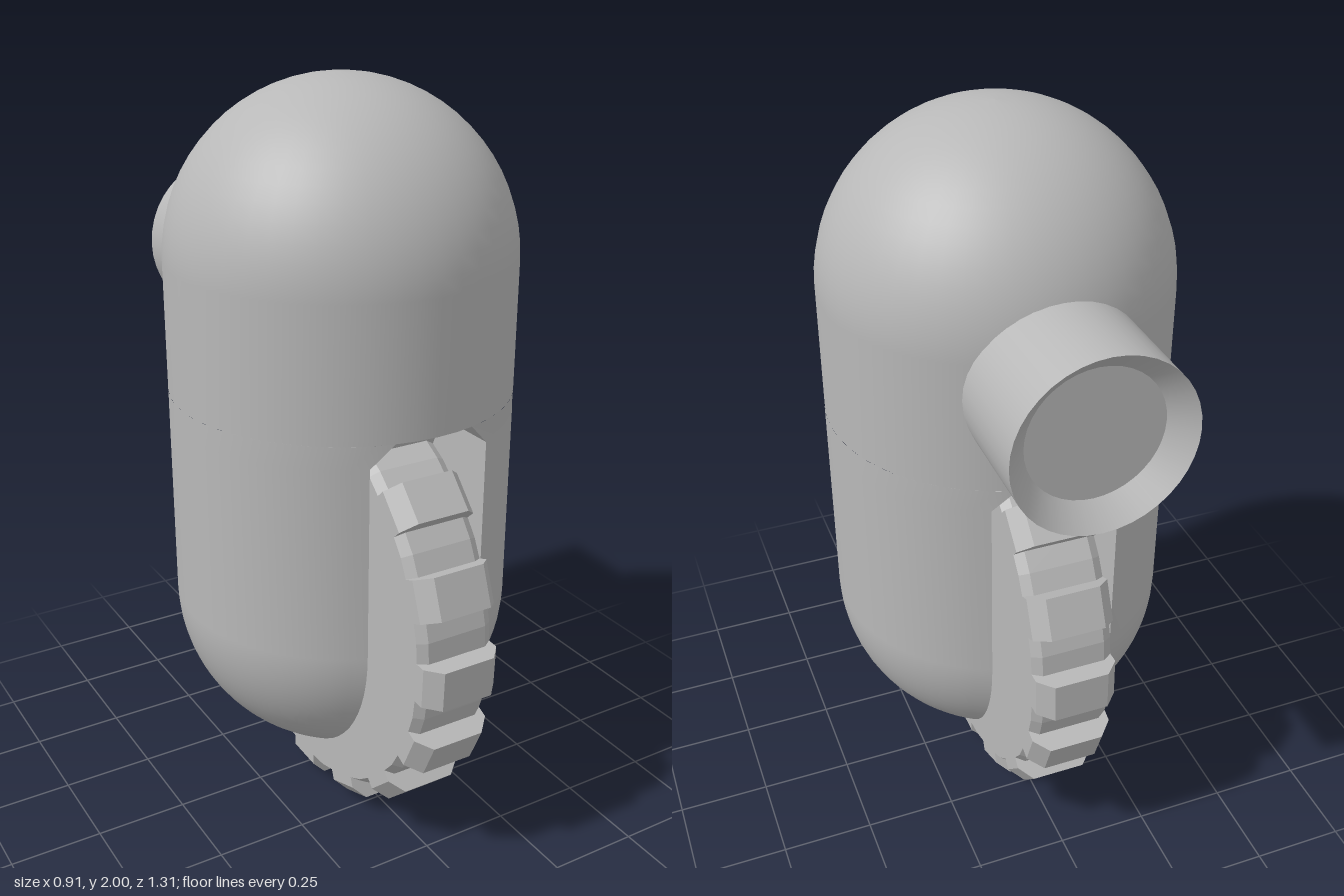
import * as THREE from 'three';
import { toCreasedNormals } from 'three/addons/utils/BufferGeometryUtils.js';

const R = 0.455;          // body radius
const LOW = 0.62;         // centre height of lower dome and wheel
const HIGH = 1.545;       // centre height of upper dome
const SLOT = 0.17;        // half width of wheel slot
const SLOT_TOP = 1.2;

// Surface through rows of points
function loft(rows) {
  const n = rows[0].length, index = [];
  for (let i = 0; i < rows.length - 1; i++)
    for (let j = 0; j < n - 1; j++) {
      const a = i * n + j, b = a + n;
      index.push(a, b, b + 1, a, b + 1, a + 1);
    }
  const g = new THREE.BufferGeometry().setFromPoints(rows.flat());
  g.setIndex(index);
  g.computeVertexNormals();
  return g;
}

export function createModel() {
  const grey = new THREE.MeshStandardMaterial({ color: 0xb8b8b8 });
  grey.name = 'grey';
  const model = new THREE.Group();
  model.name = 'wheeledCapsule';
  const root = new THREE.Group();
  root.name = 'assembly';
  root.position.z = 0.035;
  model.add(root);

  const add = (name, geometry, parent = root) => {
    const mesh = new THREE.Mesh(geometry, grey);
    mesh.name = name;
    parent.add(mesh);
    return mesh;
  };

  // Upper body with dome
  const dome = [new THREE.Vector2(R, SLOT_TOP)];
  for (let i = 0; i <= 16; i++) {
    const a = (i / 16) * Math.PI / 2;
    dome.push(new THREE.Vector2(i === 16 ? 0 : R * Math.cos(a), HIGH + R * Math.sin(a)));
  }
  add('upperBody', new THREE.LatheGeometry(dome, 48));

  // Lower body legs: each level has a radius r, a height y and a slot half width w
  const levels = [];
  const start = Math.acos(SLOT / R);
  for (let i = 0; i <= 14; i++) {
    const a = start * (1 - i / 14);
    levels.push({ r: R * Math.cos(a), y: LOW - R * Math.sin(a), w: SLOT });
  }
  levels.push({ r: R, y: 1.14, w: SLOT }, { r: R, y: SLOT_TOP, w: 0.11 });

  const shell = loft(levels.map(({ r, y, w }) => {
    const reach = Math.acos(Math.min(1, w / r)), row = [];
    for (let j = 0; j <= 24; j++) {
      const t = reach * (j / 12 - 1);
      row.push(new THREE.Vector3(r * Math.cos(t), y, r * Math.sin(t)));
    }
    return row;
  }));

  // Slot wall, chamfer and roof, as one strip per side
  const strip = [...levels, { r: R, y: SLOT_TOP, w: 0.055 }, { r: R, y: SLOT_TOP, w: 0 }];
  const wall = toCreasedNormals(loft(strip.map(({ r, y, w }) => {
    const z = Math.sqrt(Math.max(0, r * r - w * w));
    return [new THREE.Vector3(w, y, z), new THREE.Vector3(w, y, -z)];
  })), 0.3);

  for (const [side, turn] of [['left', 0], ['right', Math.PI]]) {
    add(side + 'LegShell', shell).rotation.y = turn;
    add(side + 'SlotWall', wall).rotation.y = turn;
  }

  // Rear nozzle with conical recess
  const nozzle = new THREE.LatheGeometry([
    [0.23, 0.2], [0.23, 0.69], [0.173, 0.63], [0, 0.63],
  ].map(([r, y]) => new THREE.Vector2(r, y)), 40);
  nozzle.rotateX(-Math.PI / 2);
  add('rearNozzle', toCreasedNormals(nozzle, 0.5)).position.y = 1.45;

  // Wheel, slightly turned about its axle
  const wheel = new THREE.Group();
  wheel.name = 'wheel';
  wheel.position.y = LOW;
  wheel.rotation.x = 0.035;
  root.add(wheel);

  const axle = new THREE.CylinderGeometry(0.225, 0.225, 0.36, 40);
  axle.rotateZ(Math.PI / 2);
  add('axle', axle, wheel);

  const tyre = new THREE.LatheGeometry([
    [0, -0.11], [0.555, -0.11], [0.572, -0.085], [0.572, 0.085], [0.555, 0.11], [0, 0.11],
  ].map(([r, y]) => new THREE.Vector2(r, y)), 32);
  tyre.rotateZ(Math.PI / 2);
  add('tyre', toCreasedNormals(tyre, 0.1), wheel);

  // Chamfered tread lugs
  const profile = new THREE.Shape([
    [-0.11, 0.52], [0.11, 0.52], [0.11, 0.58], [0.073, 0.62], [-0.073, 0.62], [-0.11, 0.58],
  ].map(([x, y]) => new THREE.Vector2(x, y)));
  const lug = new THREE.ExtrudeGeometry(profile, { depth: 0.11, bevelEnabled: false });
  lug.translate(0, 0, -0.055);
  for (let i = 0; i < 16; i++) add('treadLug', lug, wheel).rotation.x = (i * Math.PI) / 8;

  return model;
}
